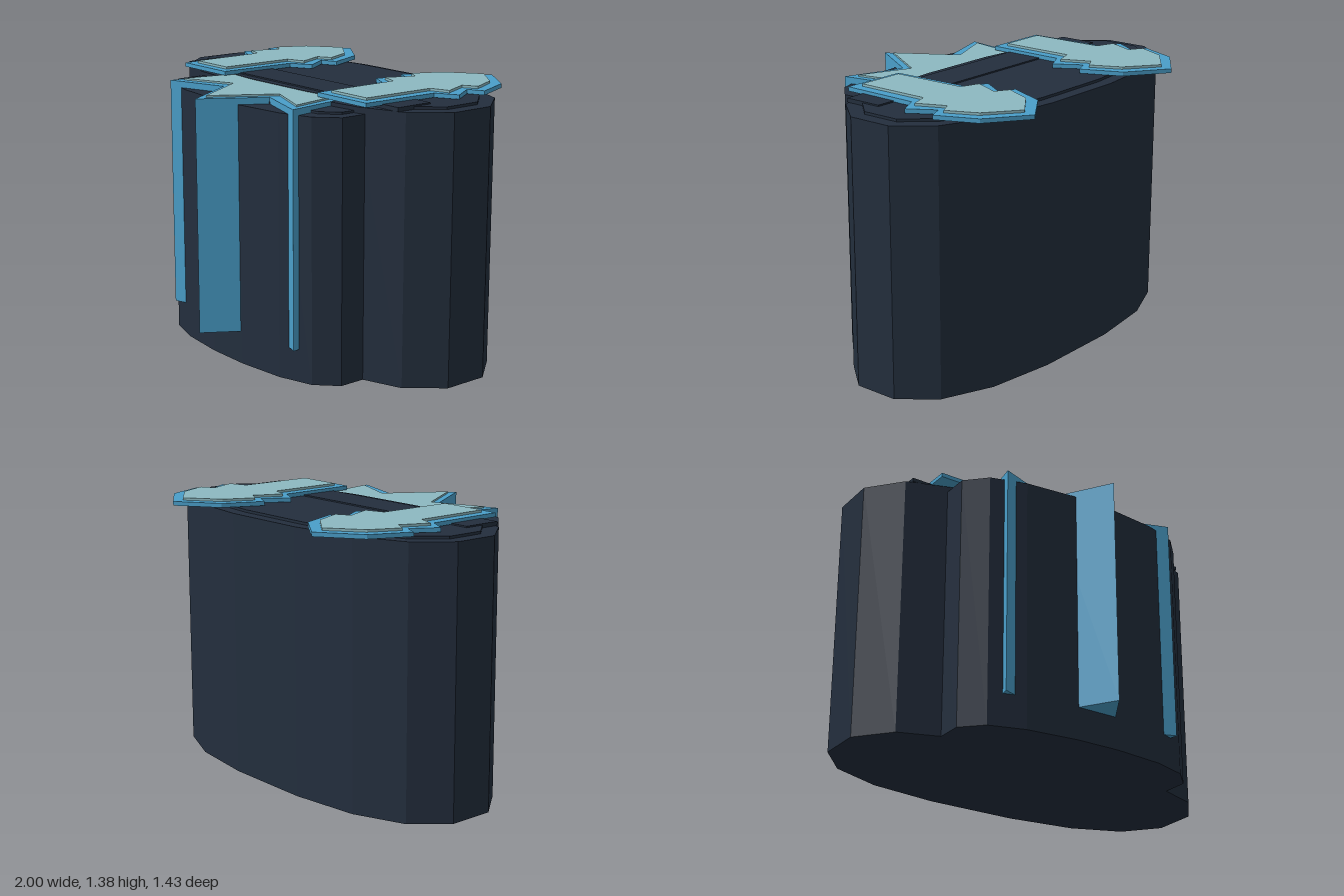
import * as THREE from 'three';

const navy = new THREE.MeshStandardMaterial({ color: 0x232e3d, name: 'dark navy' });
const blue = new THREE.MeshStandardMaterial({ color: 0x4a9fca, name: 'bright blue' });
const pale = new THREE.MeshStandardMaterial({ color: 0x8cb9c1, name: 'pale teal' });

// Extrudes a mirrored [x, z] half outline between heights y0 and y1.
// The half outline runs from back to front on the +x side.
function slab(name, half, y0, y1, material) {
  const mirrored = half.filter(([x]) => x > 0).map(([x, z]) => [-x, z]).reverse();
  const points = [...half, ...mirrored].map(([x, z]) => new THREE.Vector2(x, -z));
  const geometry = new THREE.ExtrudeGeometry(new THREE.Shape(points), { depth: y1 - y0, bevelEnabled: false });
  geometry.rotateX(-Math.PI / 2).translate(0, y0, 0);
  const mesh = new THREE.Mesh(geometry, material);
  mesh.name = name;
  return mesh;
}

export function createModel() {
  const model = new THREE.Group();
  model.name = 'twoPartBlock';

  // Wide rear body with a slightly raised lid and a cross panel
  const rear = [[0.24, -0.572], [0.6, -0.525], [0.86, -0.42], [1, -0.25],
    [1, -0.02], [0.86, 0.15], [0.62, 0.235], [0.24, 0.277]];
  const lid = rear.map(([x, z]) => [x * 0.93, -0.147 + (z + 0.147) * 0.85]);
  model.add(slab('rearBody', rear, 0, 1.33, navy));
  model.add(slab('rearLid', lid, 1.33, 1.343, navy));
  model.add(slab('crossPanel', [[0.83, -0.03], [0.83, 0.17]], 1.33, 1.35, navy));

  // Lower front body with its own lid
  const front = [[0.66, 0.1], [0.66, 0.355], [0.56, 0.455], [0.38, 0.51], [0.12, 0.538]];
  const frontLid = [[0.6, 0.1], [0.6, 0.31], [0.52, 0.385], [0.36, 0.41], [0.12, 0.415]];
  model.add(slab('frontBody', front, 0, 1.3, navy));
  model.add(slab('frontLid', frontLid, 1.3, 1.311, navy));

  // Three-pointed crest running down the front, with a pale inlay
  const crest = [[0.43, 0.12], [0.497, 0.515], [0.187, 0.41], [0, 0.71]];
  const inlay = [[0.385, 0.12], [0.455, 0.46], [0.187, 0.35], [0, 0.648]];
  model.add(slab('crest', crest, 0.165, 1.332, blue));
  model.add(slab('crestInlay', inlay, 1.332, 1.341, pale));

  // Pair of barbed arrows overhanging the back
  const arrow = [[0, -0.717], [0.207, -0.572], [0.294, -0.37], [0.213, -0.333],
    [0.294, -0.203], [0.185, -0.145], [0.175, 0.268]];
  const arrowInlay = [[0, -0.658], [0.165, -0.535], [0.235, -0.385], [0.165, -0.345],
    [0.228, -0.203], [0.13, -0.17], [0.126, 0.223]];
  for (const side of [1, -1]) {
    const group = new THREE.Group();
    group.name = side > 0 ? 'leftArrow' : 'rightArrow';
    group.add(slab('arrowBase', arrow, 1.345, 1.366, blue));
    group.add(slab('arrowInlay', arrowInlay, 1.366, 1.378, pale));
    group.position.x = side * 0.547;
    model.add(group);
  }
  return model;
}
